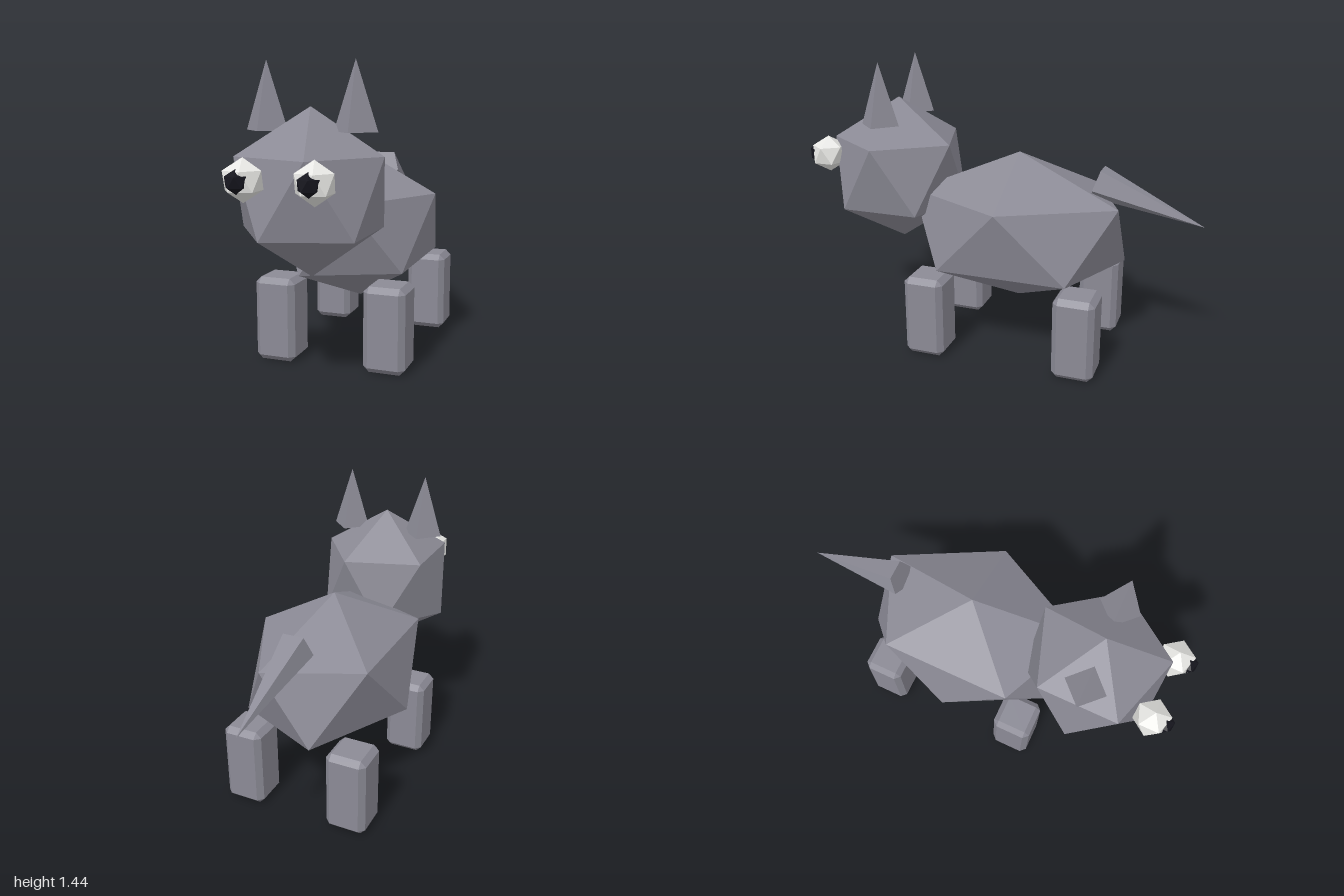
import * as THREE from 'three';
import { ConvexGeometry } from 'three/addons/geometries/ConvexGeometry.js';

// Icosahedron standing on a vertex, with two opposed rings of five
function icosahedron(rx, ry, rz) {
  const h = 1 / Math.sqrt(5), r = 2 / Math.sqrt(5);
  const points = [new THREE.Vector3(0, ry, 0), new THREE.Vector3(0, -ry, 0)];
  for (let i = 0; i < 5; i++) {
    const a = (i * 2 * Math.PI) / 5;
    const x = r * Math.cos(a) * rx, z = r * Math.sin(a) * rz;
    points.push(new THREE.Vector3(x, h * ry, z), new THREE.Vector3(-x, -h * ry, z));
  }
  return new ConvexGeometry(points);
}

// Box with every edge cut by a single flat chamfer
function chamferedBox(w, h, d, c) {
  const points = [];
  for (const sx of [-1, 1]) for (const sy of [-1, 1]) for (const sz of [-1, 1]) {
    const x = w / 2, y = h / 2, z = d / 2;
    points.push(
      new THREE.Vector3(sx * x, sy * (y - c), sz * (z - c)),
      new THREE.Vector3(sx * (x - c), sy * y, sz * (z - c)),
      new THREE.Vector3(sx * (x - c), sy * (y - c), sz * z));
  }
  return new ConvexGeometry(points);
}

export function createModel() {
  const model = new THREE.Group();
  const material = (name, color) => {
    const m = new THREE.MeshStandardMaterial({ color, flatShading: true });
    m.name = name;
    return m;
  };
  const fur = material('grey fur', 0x8b8a95);
  const white = material('eye white', 0xe7e7e4);
  const black = material('pupil black', 0x14141c);

  const add = (name, geometry, mat, x, y, z) => {
    const mesh = new THREE.Mesh(geometry, mat);
    mesh.name = name;
    mesh.position.set(x, y, z);
    model.add(mesh);
    return mesh;
  };

  add('body', icosahedron(0.442, 0.383, 0.617), fur, 0, 0.623, -0.085);
  add('head', icosahedron(0.375, 0.375, 0.375), fur, 0, 0.865, 0.566);

  // Paired parts
  const leg = chamferedBox(0.203, 0.412, 0.203, 0.027);
  const ear = new THREE.ConeGeometry(0.1, 0.305, 4);
  const eye = icosahedron(0.093, 0.093, 0.093);
  const pupil = icosahedron(0.052, 0.052, 0.052);
  for (const [side, s] of [['left', 1], ['right', -1]]) {
    add(side + 'FrontLeg', leg, fur, s * 0.275, 0.208, 0.298);
    add(side + 'BackLeg', leg, fur, s * 0.275, 0.208, -0.464);
    add(side + 'Ear', ear, fur, s * 0.207, 1.287, 0.567);
    add(side + 'Eye', eye, white, s * 0.156, 0.952, 0.898);
    add(side + 'Pupil', pupil, black, s * 0.156, 0.952, 0.955);
  }

  // Five-sided tail, flat edge on top, sloping down to the back
  const base = new THREE.Vector3(0, 0.89, -0.48), tip = new THREE.Vector3(0, 0.715, -0.997);
  const tailGeometry = new THREE.ConeGeometry(0.088, base.distanceTo(tip), 5).rotateY(Math.PI);
  const middle = base.clone().lerp(tip, 0.5);
  const tail = add('tail', tailGeometry, fur, 0, middle.y, middle.z);
  tail.rotation.x = Math.atan2(tip.z - base.z, tip.y - base.y);

  return model;
}
